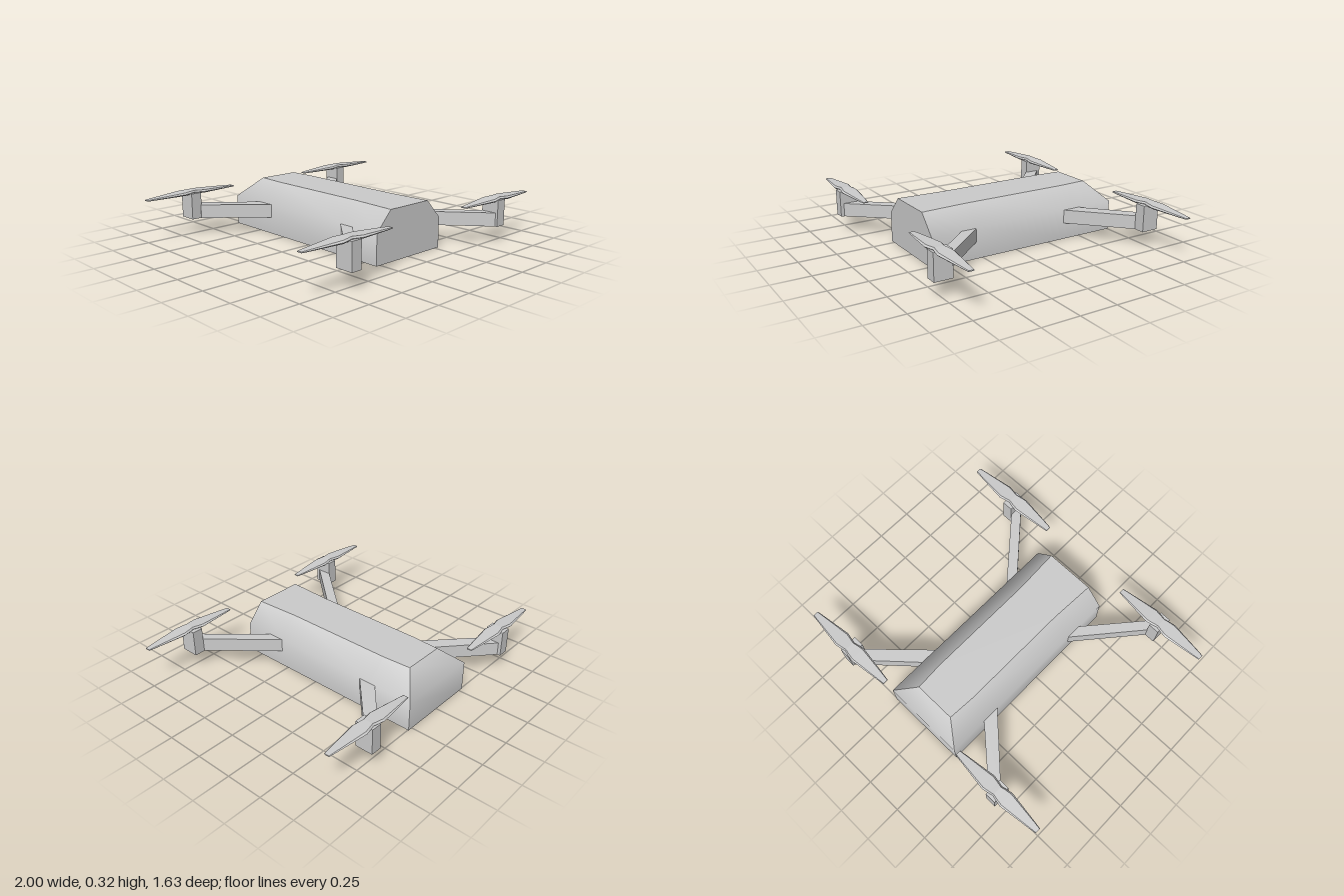
import * as THREE from 'three';

const material = new THREE.MeshStandardMaterial({ color: 0xcccccc });
const flatMaterial = new THREE.MeshStandardMaterial({ color: 0xcccccc, flatShading: true });

function mesh(name, geometry, mat = material) {
  const m = new THREE.Mesh(geometry, mat);
  m.name = name;
  return m;
}

// Smooth sheet through rows of points; its outside is (column direction) x (row direction).
function sheet(rows) {
  const cols = rows[0].length, index = [];
  for (let r = 0; r < rows.length - 1; r++) {
    for (let c = 0; c < cols - 1; c++) {
      const a = r * cols + c, b = a + 1, d = a + cols;
      index.push(a, b, d, b, d + 1, d);
    }
  }
  const g = new THREE.BufferGeometry();
  g.setAttribute('position', new THREE.Float32BufferAttribute(rows.flat(2), 3));
  g.setIndex(index);
  g.computeVertexNormals();
  return g;
}

// Hull: upright walls to the shoulder, then slopes up to a narrower deck; the tail slopes too.
function createBody() {
  const body = new THREE.Group();
  body.name = 'body';
  const W = 0.282, shoulder = 0.2, top = 0.325;
  // [base z, deck z, deck half width], front to back
  const stations = [[0.605, 0.605, 0.166], [0.3, 0.3, 0.151], [-0.45, -0.45, 0.151], [-0.755, -0.638, 0.14]];
  const line = (level, s) => stations.map(([z, deckZ, w]) =>
    level === 2 ? [s * w, top, deckZ] : [s * W, level * shoulder, z]);
  const side = (s) => [0, 1, 2].map((level) => line(level, s));
  const left = side(1), right = side(-1);
  const across = (a, b, i) => a.map((row, r) => [row[i], b[r][i]]);

  body.add(
    mesh('leftSide', sheet(left)),
    mesh('rightSide', sheet(right.map((row) => [...row].reverse()))),
    mesh('deck', sheet([left[2], right[2]])),
    mesh('underside', sheet([right[0], left[0]])),
    mesh('frontFace', sheet(across(right, left, 0))),
    mesh('tail', sheet(across(left, right, 3)))
  );
  return body;
}

// Arm: a slanted bar from inside the hull to the motor post.
function createArm(s, f) {
  const [rootNear, rootFar, tipNear, tipFar] = f > 0 ? [0.295, 0.4, 0.7, 0.8] : [-0.37, -0.49, -0.695, -0.8];
  const plan = [[0.28, rootNear], [0.625, tipNear], [0.625, tipFar], [0.28, rootFar]];
  const shape = new THREE.Shape(plan.map(([x, z]) => new THREE.Vector2(s * x, -z)));
  const g = new THREE.ExtrudeGeometry(shape, { depth: 0.09, bevelEnabled: false });
  g.rotateX(-Math.PI / 2).translate(0, 0.11, 0);
  return mesh('arm', g);
}

// Propeller: six-sided sections lofted along x, pinched at the hub and thin at the tips.
function createPropeller() {
  // [x, half width, bottom, top]
  const half = [[0.335, 0.019, 0.274, 0.281], [0.29, 0.026, 0.274, 0.284], [0.075, 0.055, 0.275, 0.295], [0.035, 0.047, 0.276, 0.297]];
  const sections = [
    ...half.map(([x, ...rest]) => [-x, ...rest]),
    [0, 0.038, 0.276, 0.299],
    ...[...half].reverse()
  ];
  const points = [], index = [], N = 6;
  for (const [x, w, y0, y1] of sections) {
    const mid = (y0 + y1) / 2, n = 0.8 * w;
    for (const [y, z] of [[y1, n], [mid, w], [y0, n], [y0, -n], [mid, -w], [y1, -n]]) points.push(x, y, z);
  }
  const last = (sections.length - 1) * N;
  for (let k = 0; k < last; k += N) {
    for (let i = 0; i < N; i++) {
      const a = k + i, b = k + (i + 1) % N;
      index.push(a, b, a + N, b, b + N, a + N);
    }
  }
  // tip caps
  for (let i = 1; i < N - 1; i++) {
    index.push(0, i + 1, i, last, last + i, last + i + 1);
  }
  const g = new THREE.BufferGeometry();
  g.setAttribute('position', new THREE.Float32BufferAttribute(points, 3));
  g.setIndex(index);
  g.computeVertexNormals();
  return mesh('propeller', g, flatMaterial);
}

export function createModel() {
  const model = new THREE.Group();
  model.name = 'drone';
  model.add(createBody());

  // Four rotor units: arm, motor post and propeller
  for (const s of [1, -1]) {
    for (const f of [1, -1]) {
      const unit = new THREE.Group();
      unit.name = (f > 0 ? 'front' : 'back') + (s > 0 ? 'Left' : 'Right') + 'Rotor';
      const post = mesh('motorPost', new THREE.BoxGeometry(0.073, 0.173, 0.12));
      post.position.set(s * 0.656, 0.1965, f * (s > 0 ? 0.749 : 0.757));
      const propeller = createPropeller();
      propeller.position.set(s < 0 && f < 0 ? -0.657 : s * 0.665, 0, f * 0.756);
      unit.add(createArm(s, f), post, propeller);
      model.add(unit);
    }
  }
  return model;
}
